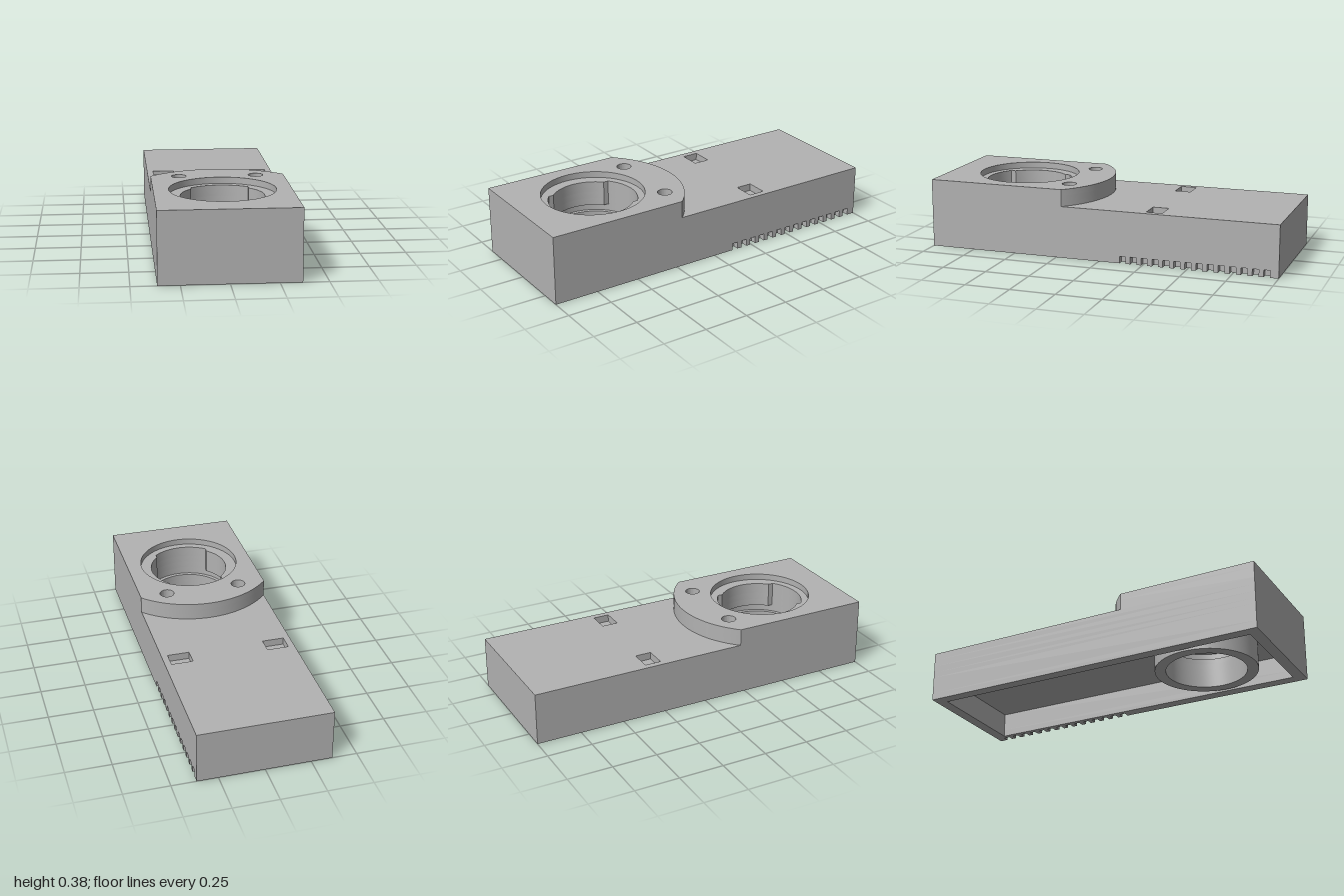
import * as THREE from 'three';
import { toCreasedNormals } from 'three/addons/utils/BufferGeometryUtils.js';

const W = 0.365;        // half width
const WALL = 0.062;     // shell thickness
const CZ = 0.555;       // bore centre along z
const BORE = 0.222, GROOVE = 0.243, RECESS = 0.283, ARC = 0.497;

// Plan shapes are drawn in (x, -z) so that extrusion goes up
const poly = (pts, Type = THREE.Path) =>
  new Type(pts.map(([x, z]) => new THREE.Vector2(x, -z)));

const rect = (x0, x1, z0, z1, Type) =>
  poly([[x0, z0], [x0, z1], [x1, z1], [x1, z0]], Type);

function circle(r, x = 0, z = CZ, Type = THREE.Path) {
  const p = new Type();
  p.absarc(x, -z, r, 0, Math.PI * 2, false);
  return p;
}

// Bore with two wider entry notches, front and back
function notchedBore() {
  const pts = [], nx = 0.155;
  const aIn = Math.acos(nx / BORE), aOut = Math.acos(nx / GROOVE);
  const arc = (r, a, b, n) => {
    for (let i = 0; i <= n; i++) {
      const t = a + (b - a) * i / n;
      pts.push([r * Math.cos(t), CZ + r * Math.sin(t)]);
    }
  };
  arc(BORE, -aIn, aIn, 16);
  arc(GROOVE, aOut, Math.PI - aOut, 16);
  arc(BORE, Math.PI - aIn, Math.PI + aIn, 16);
  arc(GROOVE, Math.PI + aOut, Math.PI * 2 - aOut, 16);
  return poly(pts);
}

// Raised front block, with an arc-shaped back edge concentric to the bore
function raisedOutline() {
  const pts = [[-W, 1], [W, 1]];
  const a = Math.asin(W / ARC), n = 32;
  for (let i = 0; i <= n; i++) {
    const t = a - 2 * a * i / n;
    pts.push([ARC * Math.sin(t), CZ - ARC * Math.cos(t)]);
  }
  return poly(pts, THREE.Shape);
}

// Base outline with a row of small slots in the left wall
function slottedOutline() {
  const pts = [[-W, -1], [-W, 1], [W, 1]];
  for (let i = 0; i < 14; i++) {
    const z = -0.12 - i * 0.0615, d = W - 0.035;
    pts.push([W, z], [d, z], [d, z - 0.035], [W, z - 0.035]);
  }
  pts.push([W, -1]);
  return poly(pts, THREE.Shape);
}

export function createModel() {
  const group = new THREE.Group();
  const grey = new THREE.MeshStandardMaterial({ color: 0xb2b2b2 });
  grey.name = 'grey';

  function layer(name, shape, holes, y0, y1) {
    shape.holes.push(...holes);
    let geo = new THREE.ExtrudeGeometry(shape, { depth: y1 - y0, bevelEnabled: false, curveSegments: 48 });
    geo.rotateX(-Math.PI / 2);
    geo.translate(0, y0, 0);
    geo = toCreasedNormals(geo, 0.4);
    const mesh = new THREE.Mesh(geo, grey);
    mesh.name = name;
    group.add(mesh);
  }

  const base = () => rect(-W, W, -1, 1, THREE.Shape);
  const cavity = () => rect(-W + WALL, W - WALL, -1 + WALL, 1 - WALL);
  const pockets = () => [-1, 1].map(s => rect(s * 0.27 - 0.06, s * 0.27 + 0.06, -0.35, -0.26));
  const screwHoles = () => [-1, 1].map(s => circle(0.04, s * 0.211, 0.228));

  // Hollow underside: walls and socket tube
  layer('slottedWall', slottedOutline(), [cavity()], 0, 0.04);
  layer('wall', base(), [cavity()], 0.04, 0.14);
  layer('socketTube', circle(RECESS, 0, CZ, THREE.Shape), [circle(BORE)], 0, 0.14);

  // Roof with the locking groove and two blind pockets
  layer('roof', base(), [circle(BORE)], 0.14, 0.17);
  layer('lockingGroove', base(), [circle(GROOVE)], 0.17, 0.21);
  layer('notchedRoof', base(), [notchedBore()], 0.21, 0.25);
  layer('pocketedRoof', base(), [notchedBore(), ...pockets()], 0.25, 0.29);

  // Raised block with screw holes and a shallow round recess
  layer('raisedBlock', raisedOutline(), [notchedBore(), ...screwHoles()], 0.29, 0.35);
  layer('recessedTop', raisedOutline(), [circle(RECESS), ...screwHoles()], 0.35, 0.385);

  return group;
}
